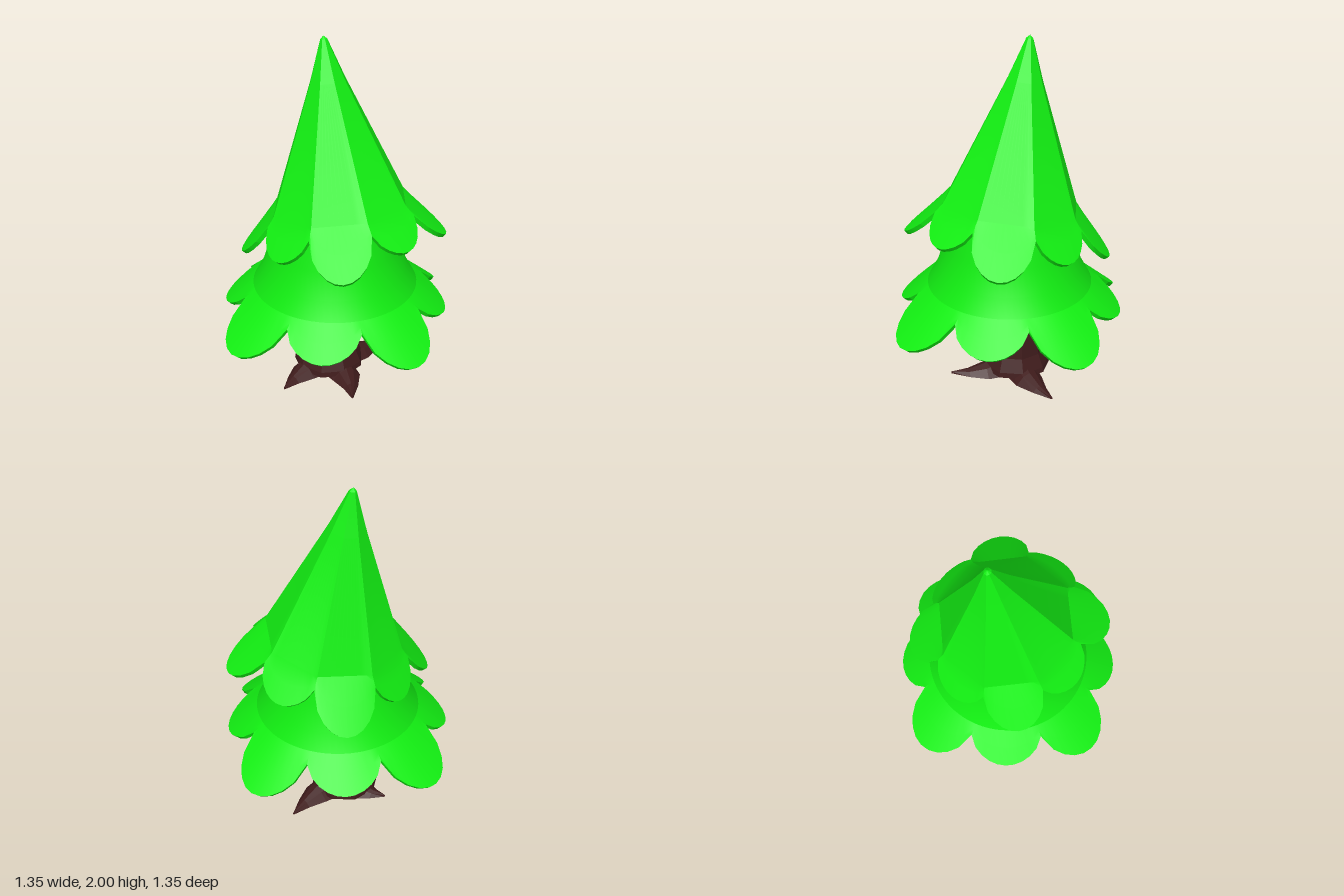
import * as THREE from 'three';
import { toCreasedNormals } from 'three/addons/utils/BufferGeometryUtils.js';

const green = new THREE.MeshStandardMaterial({ color: 0x12ee12, side: THREE.DoubleSide });
const brown = new THREE.MeshStandardMaterial({ color: 0x401c1c, flatShading: true });
const lerp = THREE.MathUtils.lerp;
const polar = (r, y, a) => [r * Math.sin(a), y, r * Math.cos(a)];

// Skins a list of equally long closed rings, ordered top to bottom
function loft(rings) {
  const n = rings[0].length, index = [];
  for (let i = 0; i < rings.length - 1; i++) {
    for (let j = 0; j < n; j++) {
      const k = (j + 1) % n;
      const a = i * n + j, b = (i + 1) * n + j, c = (i + 1) * n + k, d = i * n + k;
      index.push(a, b, c, a, c, d);
    }
  }
  const geo = new THREE.BufferGeometry();
  geo.setAttribute('position', new THREE.Float32BufferAttribute(rings.flat(2), 3));
  geo.setIndex(index);
  geo.computeVertexNormals();
  return geo;
}

// Hollow foliage skirt: a profile that ends in eight drooping rounded lobes
function tierGeometry({ profile, notch, tips, start, faceted }) {
  const lobes = 8, steps = 10, step = (Math.PI * 2) / lobes;
  const outer = [];
  const ringAt = fn => {
    const ring = [];
    for (let l = 0; l < lobes; l++) {
      for (let s = 0; s < steps; s++) {
        const t = s / steps;
        ring.push([...fn(t, tips[l % 2]), start + (l + t) * step]);
      }
    }
    return ring;
  };
  const flat = t => (faceted ? Math.cos(step / 2) / Math.cos((t - 0.5) * step) : 1);
  const rim = (t, tip) => {
    const f = Math.pow(Math.sin(Math.PI * t), 0.7);
    return [lerp(notch[0], tip[0], f), lerp(notch[1], tip[1], f)];
  };
  for (const [r, y] of profile) outer.push(ringAt(t => [r * flat(t), y]));
  const [lr, ly] = profile[profile.length - 1];
  for (const s of [0.5, 1]) {
    outer.push(ringAt((t, tip) => {
      const [r, y] = rim(t, tip);
      return [lerp(lr * flat(t), r, s), lerp(ly, y, s)];
    }));
  }
  // the inside follows the outside, slightly lower and narrower
  const inner = outer.map(ring => ring.map(([r, y, a]) => [Math.max(r - 0.02, 0.001), y - 0.018, a]));
  const rings = [...outer, ...inner.reverse()].map(ring => ring.map(p => polar(...p)));
  return toCreasedNormals(loft(rings), 0.32);
}

// Flat tapering root from the trunk out to a ground-level point
function rootGeometry(x, z, bend) {
  const dir = new THREE.Vector2(x, z), len = dir.length();
  dir.normalize();
  const rings = [[0.06, 0.11, 0.11], [0.5, 0.085, 0.06], [0.75, 0.045, 0.03], [1, 0.004, 0.012]].map(([s, w, h]) => {
    const off = bend * s * (1 - s);
    return [[-w, 0], [-w * 0.5, h * 0.75], [0, h], [w * 0.5, h * 0.75], [w, 0]].map(([u, y]) =>
      [dir.x * len * s - dir.y * (u + off), y, dir.y * len * s + dir.x * (u + off)]);
  });
  return loft(rings);
}

export function createModel() {
  const tree = new THREE.Group();
  const add = (parent, name, geo, mat) => {
    const mesh = new THREE.Mesh(geo, mat);
    mesh.name = name;
    parent.add(mesh);
    return mesh;
  };

  // Lower foliage, smooth and upright
  add(tree, 'lowerFoliage', tierGeometry({
    profile: [[0.001, 1.2], [0.25, 1.13], [0.335, 1.0], [0.365, 0.85], [0.41, 0.7], [0.465, 0.6]],
    notch: [0.525, 0.555], tips: [[0.718, 0.385], [0.637, 0.445]], start: 0, faceted: false,
  }), green);

  // Upper foliage, a leaning eight-sided cone
  const top = add(tree, 'upperFoliage', tierGeometry({
    profile: [[0.001, 0.985], [0.02, 0.967], [0.1, 0.75], [0.385, 0.065]],
    notch: [0.428, 0.01], tips: [[0.495, -0.115], [0.575, -0.17]], start: 0.11, faceted: true,
  }), green);
  top.position.set(0.033, 1.02, 0.004);
  top.quaternion.setFromUnitVectors(new THREE.Vector3(0, 1, 0), new THREE.Vector3(-0.064, 1, -0.121).normalize());

  // Trunk with a flared foot
  const base = new THREE.Group();
  base.name = 'trunkAndRoots';
  base.position.set(-0.025, 0, -0.04);
  tree.add(base);
  const trunkProfile = [[0.001, 1.0], [0.11, 1.0], [0.142, 0.5], [0.168, 0.13], [0.2, 0.05], [0.205, 0.02], [0.16, 0], [0.001, 0]];
  add(base, 'trunk', loft(trunkProfile.map(([r, y]) =>
    Array.from({ length: 9 }, (_, i) => polar(r, y, (i / 9) * Math.PI * 2 + 0.2)))), brown);

  // Roots spreading over the ground
  const rootMat = brown.clone();
  rootMat.side = THREE.DoubleSide;
  const roots = [[0.4, -0.13, 0.1], [-0.325, 0.2, 0.1], [0.03, 0.39, -0.15], [-0.15, -0.24, 0.1]];
  for (const r of roots) add(base, 'root', rootGeometry(...r), rootMat);
  return tree;
}
